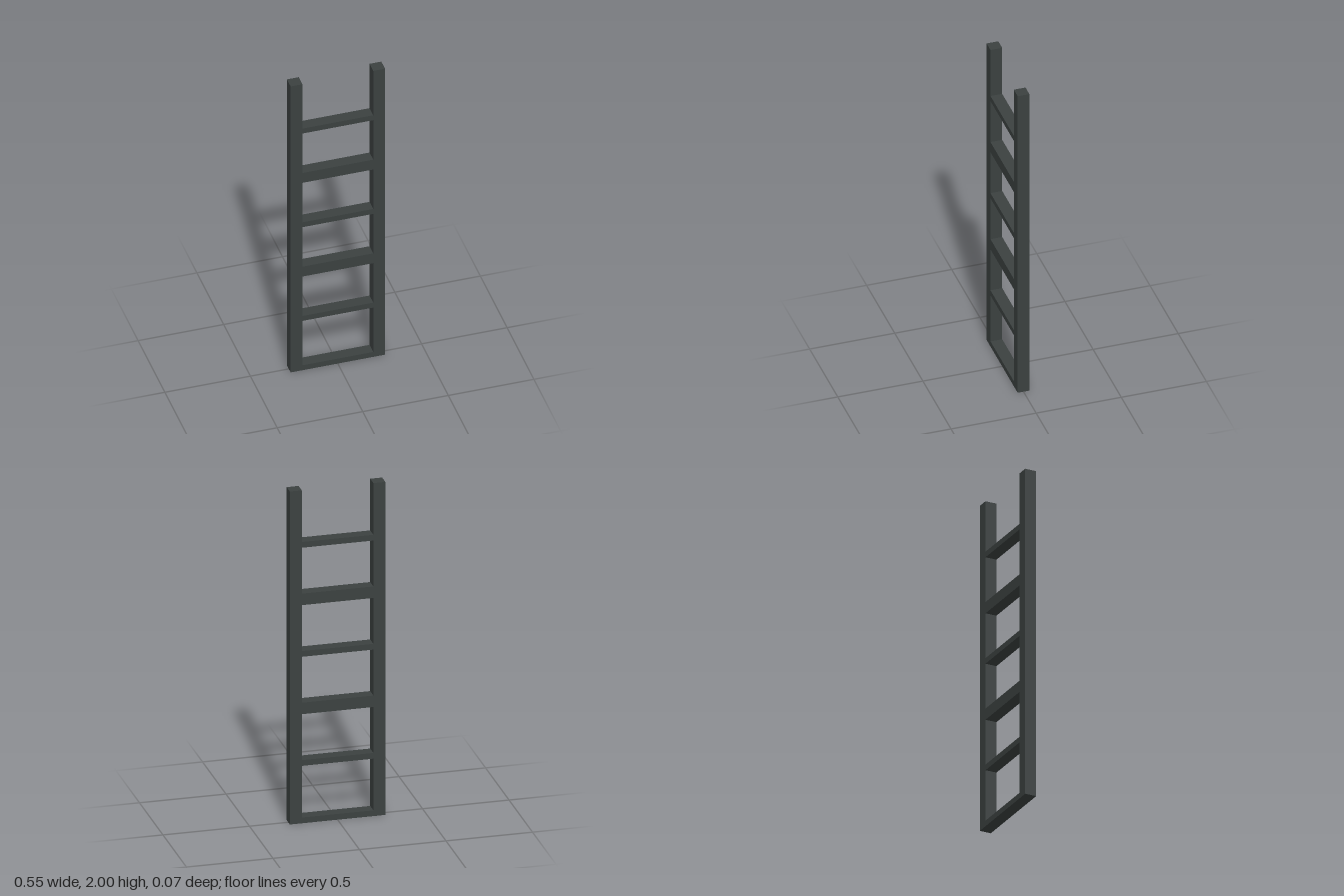
import * as THREE from 'three';

export function createModel() {
  const ladder = new THREE.Group();
  ladder.name = 'ladder';
  const darkMetal = new THREE.MeshStandardMaterial({ color: 0x3b4140 });
  darkMetal.name = 'dark metal';

  // Everything sits on a module of one rail thickness; the rails are 29 modules tall
  const u = 2 / 29;

  function addBar(name, width, height, x, bottom) {
    const bar = new THREE.Mesh(new THREE.BoxGeometry(width * u, height * u, u), darkMetal);
    bar.name = name;
    bar.position.set(x * u, (bottom + height / 2) * u, 0);
    ladder.add(bar);
  }

  // Side rails
  addBar('leftRail', 1, 29, 3.5, 0);
  addBar('rightRail', 1, 29, -3.5, 0);

  // Rungs between the rails: [bottom, height] in modules
  const rungs = [[0, 0.5], [5, 0.5], [9.5, 1], [14.5, 0.5], [19, 1], [24, 0.5]];
  rungs.forEach(([bottom, height], i) => addBar(`rung${i + 1}`, 6, height, 0, bottom));

  return ladder;
}
